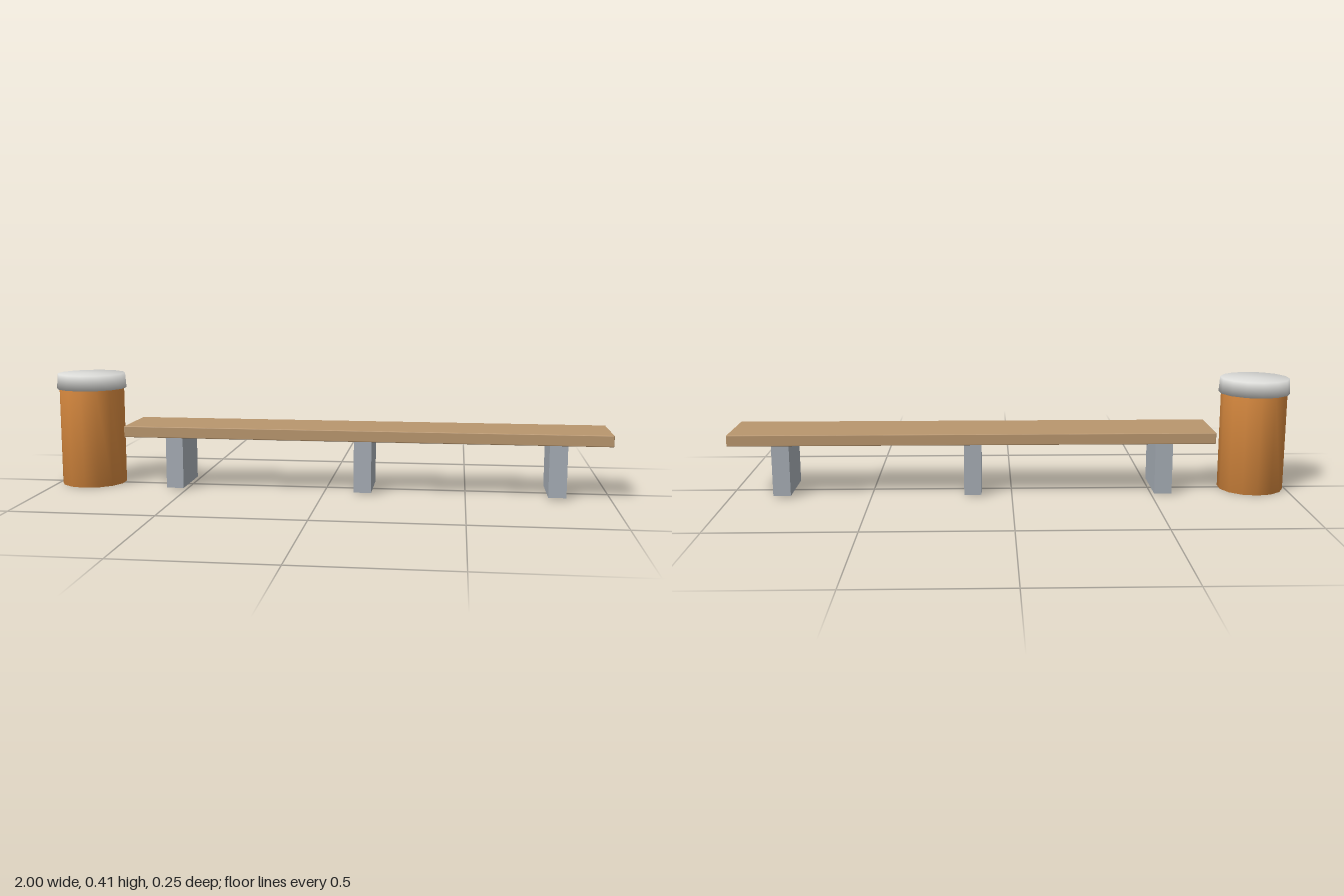
import * as THREE from 'three';
import { RoundedBoxGeometry } from 'three/addons/geometries/RoundedBoxGeometry.js';

const material = (name, color) => {
  const m = new THREE.MeshStandardMaterial({ color });
  m.name = name;
  return m;
};

export function createModel() {
  const group = new THREE.Group();
  group.name = 'benchAndBin';
  const wood = material('wood', 0xb9966d);
  const concrete = material('concrete', 0xa6adb5);
  const orange = material('orange', 0xdc8c40);
  const paleGrey = material('paleGrey', 0xdcdcd9);

  const add = (name, geometry, mat, x, y = 0) => {
    const mesh = new THREE.Mesh(geometry, mat);
    mesh.name = name;
    mesh.position.set(x, y, 0);
    group.add(mesh);
  };
  // Fourteen-sided round part with softly shaded rims
  const turned = (points) =>
    new THREE.LatheGeometry(points.map(([r, y]) => new THREE.Vector2(r, y)), 14);

  // Bench: one long plank on three blocks
  add('seat', new RoundedBoxGeometry(1.72, 0.04, 0.234, 2, 0.003), wood, 0.139, 0.21);
  const leg = new THREE.BoxGeometry(0.062, 0.184, 0.208);
  [-0.54, 0.139, 0.816].forEach((x, i) => add(`leg${i + 1}`, leg, concrete, x, 0.098));

  // Bin with an overhanging lid
  const binX = -0.877;
  add('binBody', turned([[0, 0], [0.1175, 0], [0.1175, 0.356]]), orange, binX);
  add('binLid', turned([[0, 0.354], [0.1265, 0.354], [0.1225, 0.408], [0, 0.408]]), paleGrey, binX);

  return group;
}
